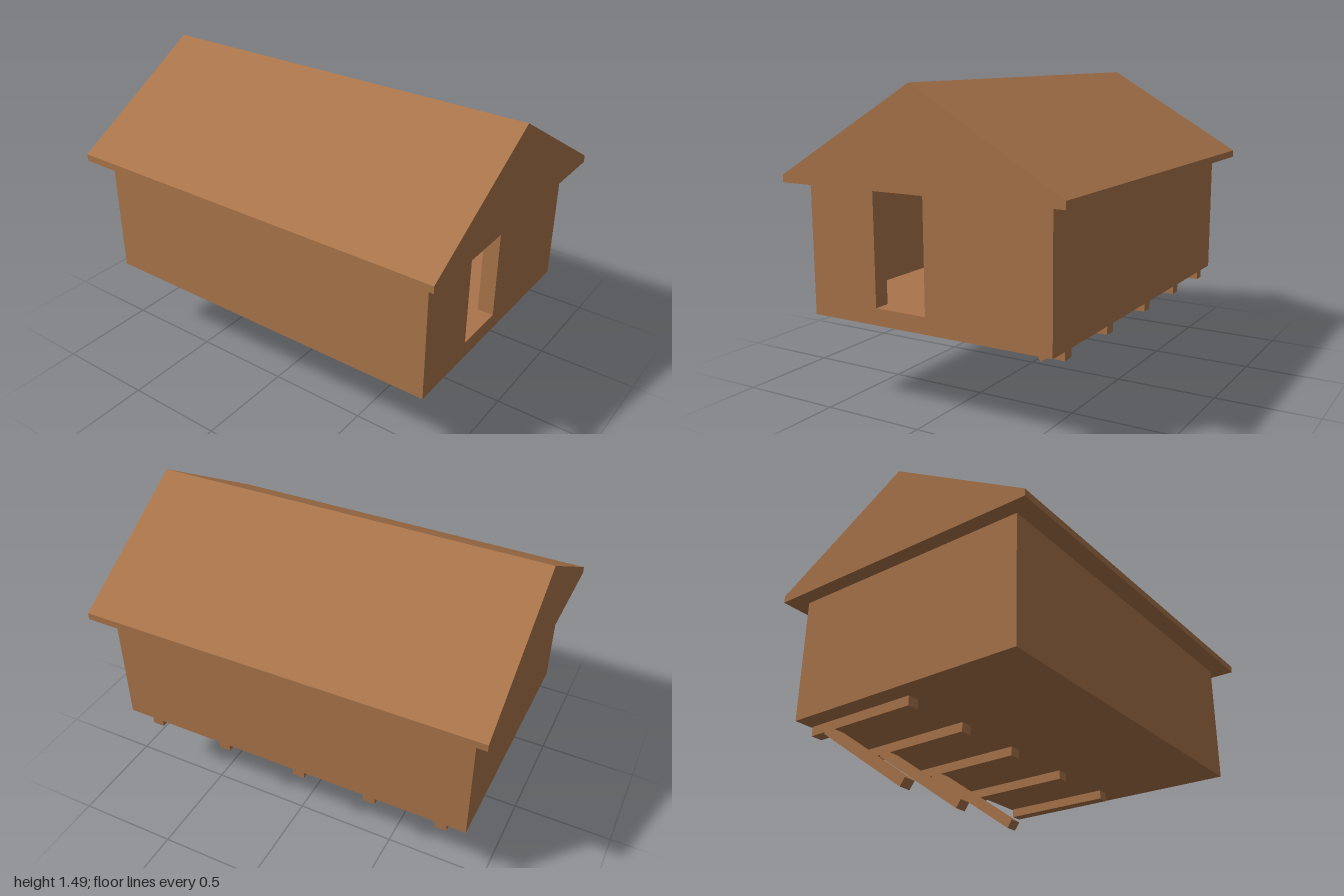
import * as THREE from 'three';

const wood = new THREE.MeshStandardMaterial({ color: 0xa9744a, flatShading: true });

function add(group, name, geometry) {
  const mesh = new THREE.Mesh(geometry, wood);
  mesh.name = name;
  group.add(mesh);
  return mesh;
}

function polygon(points) {
  return new THREE.Shape(points.map(([x, y]) => new THREE.Vector2(x, y)));
}

export function createModel() {
  const hut = new THREE.Group();
  hut.name = 'hut';

  const halfX = 0.925, halfZ = 0.63, wall = 0.08;
  const bottom = 0.41, floorTop = 0.49, eave = 1.035;

  // Floor slab
  add(hut, 'floor', new THREE.BoxGeometry(2 * halfX, floorTop - bottom, 2 * halfZ))
    .position.y = (bottom + floorTop) / 2;

  // Walls: hollow plan with a full-height doorway in the +x end (plan y = -z)
  const ix = halfX - wall, iz = halfZ - wall;
  const doorFront = -0.27, doorBack = 0;
  const plan = polygon([
    [halfX, doorBack], [halfX, halfZ], [-halfX, halfZ], [-halfX, -halfZ],
    [halfX, -halfZ], [halfX, doorFront], [ix, doorFront], [ix, -iz],
    [-ix, -iz], [-ix, iz], [ix, iz], [ix, doorBack],
  ]);
  const walls = new THREE.ExtrudeGeometry(plan, { depth: eave - floorTop, bevelEnabled: false });
  walls.rotateX(-Math.PI / 2);
  add(hut, 'walls', walls).position.y = floorTop;

  // Solid gable roof with a short vertical eave edge, ridge along x
  const gable = polygon([
    [-0.725, eave], [0.725, eave], [0.725, 1.07], [0, 1.495], [-0.725, 1.07],
  ]);
  const roof = new THREE.ExtrudeGeometry(gable, { depth: 2, bevelEnabled: false });
  roof.translate(0, 0, -1).rotateY(Math.PI / 2);
  add(hut, 'roof', roof);

  // Beams under the back half of the floor
  for (const x of [-0.8, -0.437, -0.057, 0.367, 0.773]) {
    add(hut, 'floorBeam', new THREE.BoxGeometry(0.06, 0.047, 0.605))
      .position.set(x, 0.3865, -0.3175);
  }

  // Slanted struts from the ground up to three of the beams
  const foot = new THREE.Vector3(0, 0.0195, -0.0235);
  const head = new THREE.Vector3(0, 0.3735, -0.5225);
  const along = head.clone().sub(foot);
  for (const x of [-0.8, -0.437, -0.057]) {
    const strut = add(hut, 'strut', new THREE.BoxGeometry(0.06, 0.045, along.length()));
    strut.position.copy(foot).add(head).multiplyScalar(0.5).setX(x);
    strut.rotation.x = Math.atan2(along.y, -along.z);
  }

  return hut;
}
